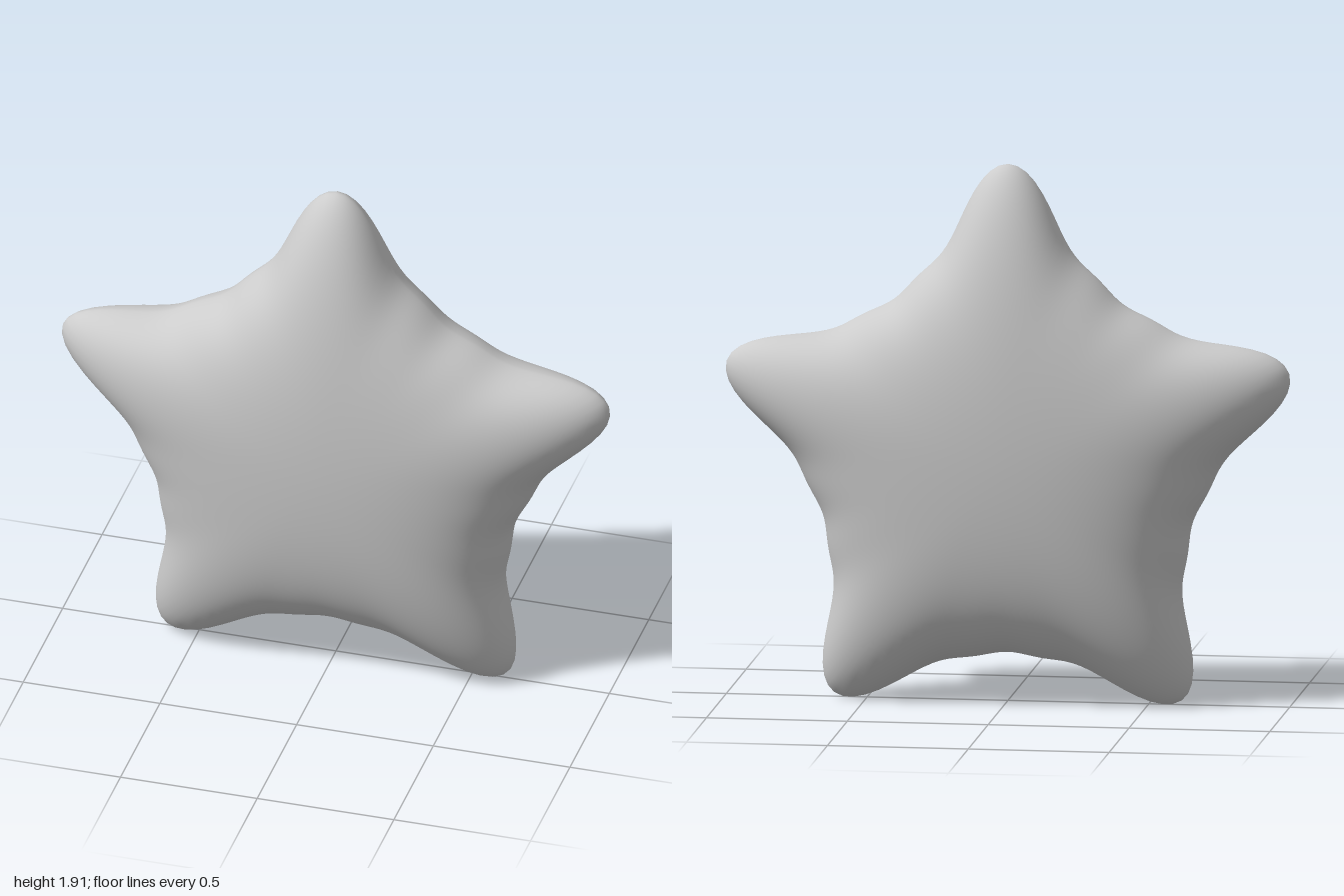
import * as THREE from 'three';
import { mergeVertices } from 'three/addons/utils/BufferGeometryUtils.js';

const CENTRE_Y = 0.86, TIP = 1.05, HALF_DEPTH = 0.28;

// Distance from the centre at angle a from the top tip; s runs from 0 (middle) to 1 (rim).
// The five-fold waves fade towards the middle, leaving a plain round dome there.
function radius(s, a) {
  return s * (0.817
    + 0.161 * s ** 2 * Math.cos(5 * a)
    + 0.053 * s ** 3 * Math.cos(10 * a)
    + 0.019 * s ** 4 * Math.cos(15 * a));
}

// Half thickness, a lens profile along the axis of an arm
function depth(s) {
  const u = Math.min(1, radius(s, 0) / TIP);
  return HALF_DEPTH * (1 - u * u) ** 0.62;
}

// Puffy star: a sphere with its poles on z, reshaped ring by ring
function starGeometry() {
  let geometry = new THREE.SphereGeometry(1, 200, 80).rotateX(Math.PI / 2);
  geometry.deleteAttribute('uv');
  geometry.deleteAttribute('normal');
  geometry = mergeVertices(geometry, 1e-5);
  const p = geometry.attributes.position;
  for (let i = 0; i < p.count; i++) {
    const x = p.getX(i), y = p.getY(i), z = p.getZ(i);
    const s = Math.min(1, Math.hypot(x, y));
    const a = Math.atan2(x, y);
    const r = radius(s, a);
    p.setXYZ(i, r * Math.sin(a), r * Math.cos(a), Math.sign(z) * depth(s));
  }
  geometry.computeVertexNormals();
  return geometry;
}

export function createModel() {
  const model = new THREE.Group();
  model.name = 'puffyStar';
  const star = new THREE.Mesh(starGeometry(), new THREE.MeshStandardMaterial({ color: 0xcccccc }));
  star.name = 'starBody';
  star.position.y = CENTRE_Y;
  model.add(star);
  return model;
}
